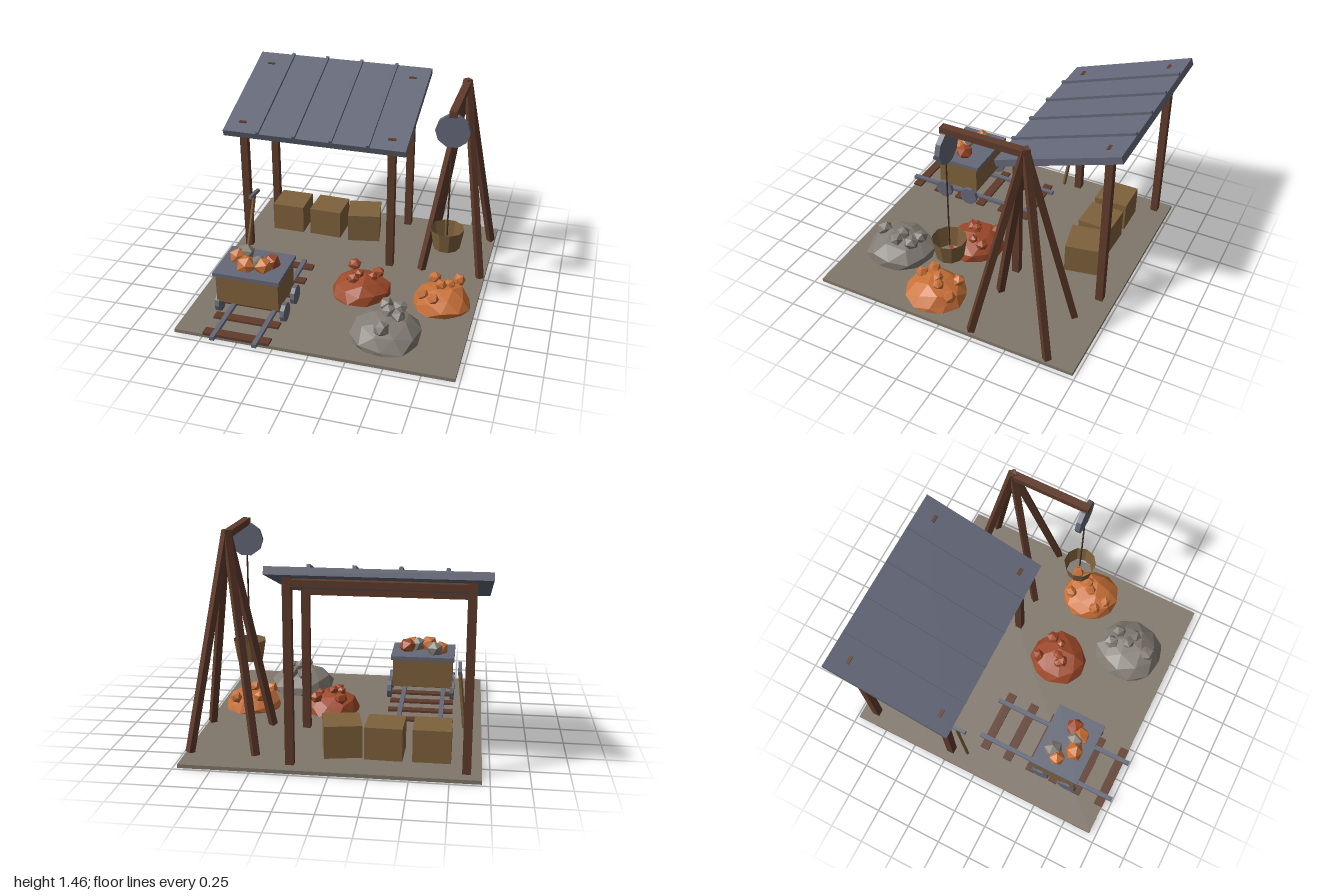
import * as THREE from 'three';
import { mergeVertices } from 'three/addons/utils/BufferGeometryUtils.js';

const material = (name, color, extra = {}) => {
  const m = new THREE.MeshStandardMaterial({ color, flatShading: true, ...extra });
  m.name = name;
  return m;
};

// Small seeded random generator
const seeded = (seed) => () => {
  seed = (seed * 16807) % 2147483647;
  return seed / 2147483647;
};

export function createModel() {
  const earth = material('earth', 0x81776b);
  const timber = material('timber', 0x5f3b2b);
  const slate = material('slate', 0x646878);
  const plank = material('plank', 0x7f613c);
  const bucketWood = material('bucketWood', 0x7f613c, { side: THREE.DoubleSide });
  const rope = material('rope', 0x4a3324);
  const copper = material('copperOre', 0xc97138);
  const rust = material('rustOre', 0x9f4a2a);
  const stone = material('stone', 0x827c74);

  const model = new THREE.Group();
  model.name = 'miningCamp';

  const group = (name) => {
    const g = new THREE.Group();
    g.name = name;
    model.add(g);
    return g;
  };
  const add = (parent, name, geometry, mat, x, y, z) => {
    const mesh = new THREE.Mesh(geometry, mat);
    mesh.name = name;
    mesh.position.set(x, y, z);
    parent.add(mesh);
    return mesh;
  };
  const box = (parent, name, mat, w, h, d, x, y, z) =>
    add(parent, name, new THREE.BoxGeometry(w, h, d), mat, x, y, z);
  // Square bar running between two points
  const bar = (parent, name, mat, size, a, b) => {
    const from = new THREE.Vector3(...a);
    const to = new THREE.Vector3(...b);
    const mid = from.clone().add(to).multiplyScalar(0.5);
    const mesh = box(parent, name, mat, size, size, from.distanceTo(to), mid.x, mid.y, mid.z);
    mesh.lookAt(to);
    return mesh;
  };
  // Jittered faceted rock, flattened where it meets the ground
  const rockGeometry = (detail, rx, ry, rz, seed, jitter, cut = -Infinity) => {
    let g = new THREE.IcosahedronGeometry(1, detail);
    g.deleteAttribute('normal');
    g.deleteAttribute('uv');
    g = mergeVertices(g, 0.001);
    g.rotateY(seed).rotateX(seed * 0.7);
    const random = seeded(seed * 977 + 13);
    const p = g.attributes.position;
    for (let i = 0; i < p.count; i++) {
      const s = 1 + (random() - 0.5) * jitter;
      p.setXYZ(i, p.getX(i) * s * rx, Math.max(cut, p.getY(i) * s * ry), p.getZ(i) * s * rz);
    }
    g = g.toNonIndexed();
    g.computeVertexNormals();
    return g;
  };

  // Ground slab
  box(model, 'ground', earth, 1.92, 0.025, 1.93, 0.01, 0.0125, -0.015);

  // Shelter: posts, cross beams and sloping ribbed roof
  const shelter = group('shelter');
  for (const [z, top, beamY] of [[-0.235, 1.068, 1.003], [-0.875, 1.288, 1.205]]) {
    for (const x of [-0.855, 0.26]) {
      box(shelter, 'post', timber, 0.055, top - 0.02, 0.052, x, (top + 0.02) / 2, z);
    }
    box(shelter, 'crossBeam', timber, 1.115, 0.045, 0.045, -0.2975, beamY, z);
  }
  const roof = new THREE.Group();
  roof.name = 'roof';
  roof.position.set(-0.297, 1.153, -0.557);
  roof.rotation.x = 0.333;
  shelter.add(roof);
  box(roof, 'roofSheet', slate, 1.355, 0.05, 0.913, 0, 0, 0);
  for (const x of [-0.71, -0.436, -0.163, 0.11]) {
    box(roof, 'roofRib', slate, 0.022, 0.02, 0.913, x + 0.297, 0.034, 0);
  }

  // Hoist: four splayed legs, boom, pulley, rope and bucket
  const hoist = group('hoist');
  const hx = 0.722;
  for (const sx of [-1, 1]) {
    for (const sz of [-1, 1]) {
      bar(hoist, 'hoistLeg', timber, 0.045,
        [hx + sx * 0.218, 0.03, -0.507 + sz * 0.28], [hx, 1.45, -0.507]);
    }
  }
  box(hoist, 'boom', timber, 0.052, 0.045, 0.57, hx, 1.423, -0.225);
  add(hoist, 'pulley', new THREE.CylinderGeometry(0.117, 0.117, 0.034, 10)
    .rotateY(Math.PI / 2).rotateX(Math.PI / 2), slate, hx, 1.297, 0.03);
  add(hoist, 'rope', new THREE.CylinderGeometry(0.006, 0.006, 0.78, 6), rope, hx, 0.9, 0.037);
  add(hoist, 'bucket', new THREE.CylinderGeometry(0.118, 0.094, 0.145, 10, 1, true)
    .rotateY(Math.PI / 2), bucketWood, hx, 0.495, 0.037);

  // Track: sleepers under two rails
  const track = group('track');
  for (let i = 0; i < 6; i++) {
    box(track, 'sleeper', timber, 0.47, 0.02, 0.066, -0.508, 0.03, -0.02 + i * 0.188);
  }
  for (const x of [-0.66, -0.362]) box(track, 'rail', slate, 0.032, 0.028, 1.09, x, 0.035, 0.45);

  // Ore cart
  const cart = group('cart');
  box(cart, 'cartBody', plank, 0.445, 0.215, 0.32, -0.508, 0.243, 0.548);
  box(cart, 'cartRim', slate, 0.472, 0.028, 0.363, -0.507, 0.361, 0.548);
  for (const x of [-0.73, -0.26]) {
    for (const z of [0.44, 0.656]) {
      add(cart, 'wheel', new THREE.CylinderGeometry(0.07, 0.07, 0.03, 10).rotateZ(Math.PI / 2),
        slate, x, 0.1, z);
    }
  }
  const load = [
    [stone, -0.595, 0.41, 0.475, 0.068], [copper, -0.635, 0.4, 0.52, 0.066],
    [copper, -0.54, 0.405, 0.615, 0.07], [stone, -0.46, 0.415, 0.585, 0.066],
    [copper, -0.42, 0.405, 0.6, 0.07], [rust, -0.385, 0.41, 0.545, 0.07],
  ];
  load.forEach(([mat, x, y, z, r], i) =>
    add(cart, 'cartOre', rockGeometry(0, r, r * 0.92, r, i + 2, 0.25), mat, x, y, z));

  // Crates
  const crates = group('crates');
  for (const [x, yaw] of [[-0.632, 0], [-0.325, -0.03], [-0.04, 0.2]]) {
    box(crates, 'crate', plank, 0.247, 0.222, 0.247, x, 0.133, -0.63).rotation.y = yaw;
  }

  // Pickaxe leaning by the front post
  const pickaxe = group('pickaxe');
  bar(pickaxe, 'pickHandle', plank, 0.02, [-0.83, 0.025, -0.117], [-0.788, 0.49, -0.2]);
  bar(pickaxe, 'pickHead', slate, 0.024, [-0.79, 0.497, -0.12], [-0.79, 0.477, -0.287]);

  // Ore heaps: a low mound topped with loose lumps [x, y, z, radius]
  const heaps = [
    { name: 'rustHeap', mat: rust, x: 0.152, z: 0.163, rx: 0.212, ry: 0.13, rz: 0.215, lumps: [
      [0.06, 0.15, 0.025, 0.05], [0.245, 0.135, 0.06, 0.05], [0.225, 0.145, 0.14, 0.038],
      [0.1, 0.155, 0.21, 0.045], [0.075, 0.15, 0.19, 0.04], [0.13, 0.165, 0.16, 0.04]] },
    { name: 'copperHeap', mat: copper, x: 0.728, z: 0.153, rx: 0.215, ry: 0.14, rz: 0.215, lumps: [
      [0.65, 0.14, 0.02, 0.048], [0.825, 0.135, -0.005, 0.048], [0.72, 0.17, 0.15, 0.046],
      [0.775, 0.165, 0.11, 0.042], [0.61, 0.13, 0.24, 0.048], [0.69, 0.135, 0.285, 0.046]] },
    { name: 'stoneHeap', mat: stone, x: 0.44, z: 0.618, rx: 0.24, ry: 0.165, rz: 0.255, lumps: [
      [0.405, 0.17, 0.475, 0.056], [0.505, 0.18, 0.495, 0.056], [0.45, 0.195, 0.59, 0.052],
      [0.52, 0.185, 0.61, 0.054], [0.435, 0.17, 0.76, 0.058]] },
  ];
  heaps.forEach((h, i) => {
    const heap = group(h.name);
    add(heap, 'mound', rockGeometry(1, h.rx, h.ry, h.rz, i + 3, 0.14, -0.01), h.mat, h.x, 0.025, h.z);
    h.lumps.forEach(([x, y, z, r], j) =>
      add(heap, 'lump', rockGeometry(0, r, r * 0.9, r, i * 7 + j + 1, 0.25), h.mat, x, y, z));
  });

  return model;
}
